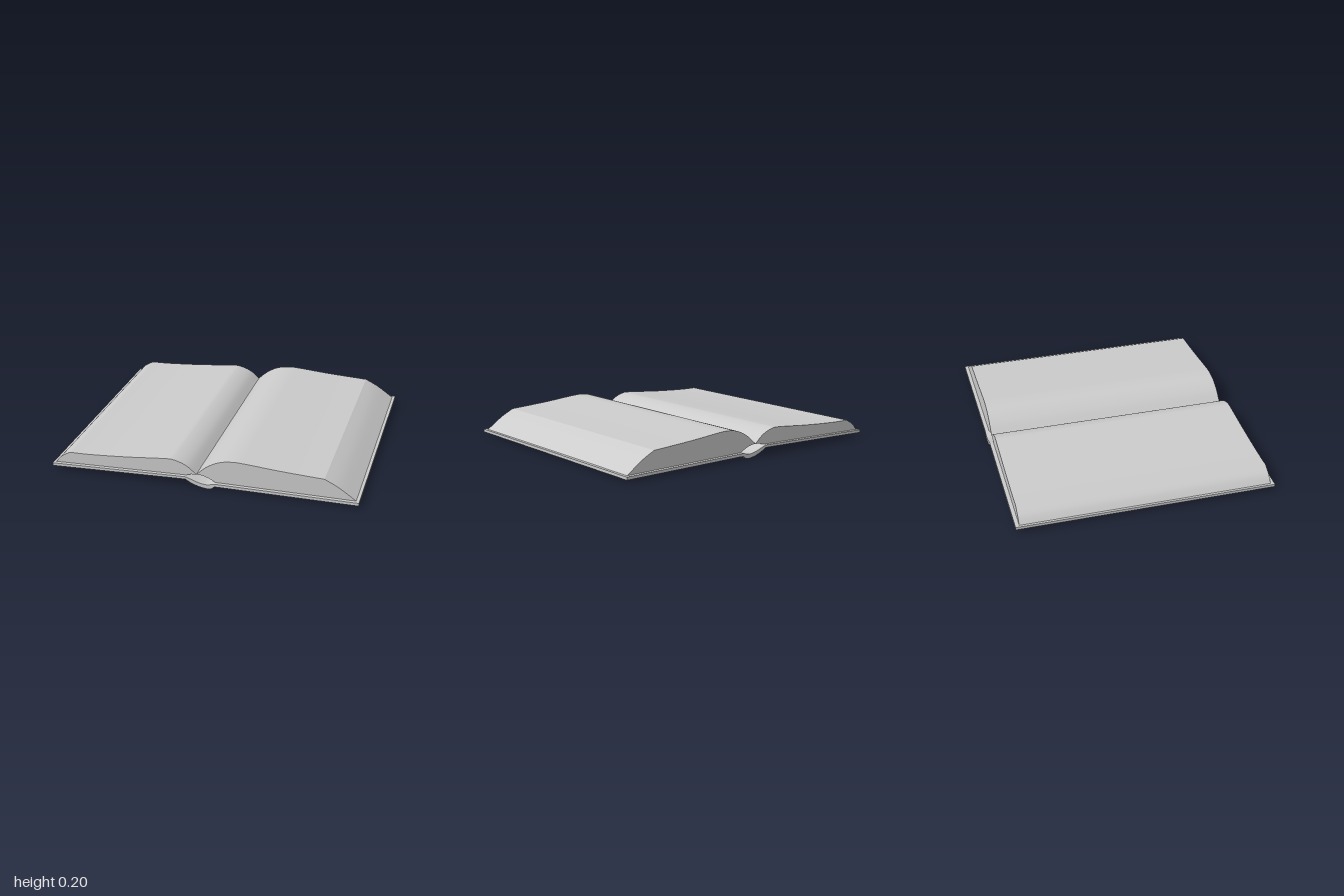
import * as THREE from 'three';
import { toCreasedNormals } from 'three/addons/utils/BufferGeometryUtils.js';

const material = new THREE.MeshStandardMaterial({ color: 0xcccccc });

// Smooth run of points through a few control points.
function curve(points, steps) {
  return new THREE.SplineCurve(points.map(([x, y]) => new THREE.Vector2(x, y))).getPoints(steps);
}

// Closed front profile, made of several runs, extruded along z and centred.
function extrudeProfile(name, runs, depth) {
  const outline = [];
  for (const p of runs.flat()) {
    if (!outline.length || outline[outline.length - 1].distanceTo(p) > 1e-5) outline.push(p);
  }
  const geometry = new THREE.ExtrudeGeometry(new THREE.Shape(outline), { depth, bevelEnabled: false });
  geometry.translate(0, 0, -depth / 2);
  const mesh = new THREE.Mesh(toCreasedNormals(geometry, 0.3), material);
  mesh.name = name;
  return mesh;
}

export function createModel() {
  const book = new THREE.Group();
  book.name = 'openBook';

  // Page blocks: fore edge, curved page surface, then the underside by the spine
  book.add(extrudeProfile('leftPages', [
    curve([[-0.985, 0.045], [-0.945, 0.09], [-0.885, 0.124]], 8),
    curve([[-0.885, 0.124], [-0.75, 0.126], [-0.5, 0.141], [-0.25, 0.163], [-0.18, 0.162],
      [-0.1, 0.132], [-0.035, 0.079]], 40),
    curve([[-0.035, 0.079], [-0.07, 0.076], [-0.105, 0.066]], 6),
  ], 1.63));

  book.add(extrudeProfile('rightPages', [
    curve([[-0.035, 0.079], [0.03, 0.137], [0.11, 0.18], [0.2, 0.196], [0.3, 0.192],
      [0.5, 0.175], [0.78, 0.158]], 40),
    curve([[0.78, 0.158], [0.87, 0.112], [0.98, 0.036]], 10),
    curve([[0.98, 0.036], [0.09, 0.039]], 1),
    curve([[0.09, 0.039], [0.045, 0.063], [0, 0.077], [-0.035, 0.079]], 10),
  ], 1.63));

  // Cover boards
  const coverDepth = 1.68;
  book.add(extrudeProfile('leftCover', [
    curve([[-1, 0.026], [-0.1, 0.05]], 1),
    curve([[-0.1, 0.067], [-1, 0.045]], 1),
  ], coverDepth));
  book.add(extrudeProfile('rightCover', [
    curve([[0.09, 0.021], [1, 0.017]], 1),
    curve([[1, 0.036], [0.09, 0.04]], 1),
  ], coverDepth));

  // Spine sagging between the boards, hollow below the pages
  book.add(extrudeProfile('spine', [
    curve([[-0.1, 0.05], [-0.06, 0.027], [-0.01, 0.009], [0.04, 0.001], [0.068, 0.004], [0.09, 0.021]], 20),
    curve([[0.09, 0.04], [0.04, 0.029], [-0.01, 0.036], [-0.06, 0.053], [-0.1, 0.067]], 20),
  ], coverDepth));

  return book;
}
